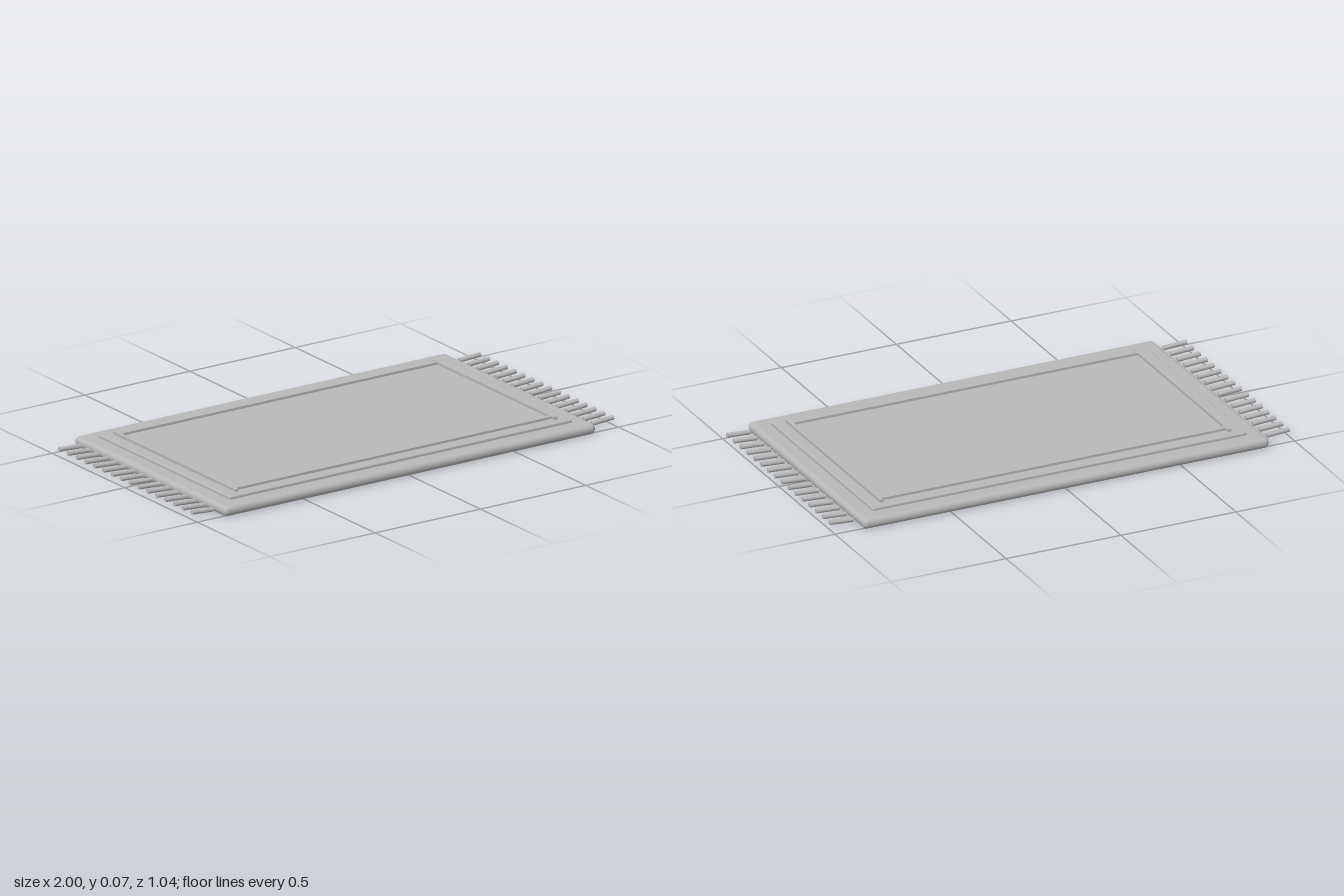
import * as THREE from 'three';
import { RoundedBoxGeometry } from 'three/addons/geometries/RoundedBoxGeometry.js';

export function createModel() {
  const rug = new THREE.Group();
  rug.name = 'fringedRug';
  const grey = new THREE.MeshStandardMaterial({ color: 0xb8b8b8 });
  grey.name = 'grey wool';

  const add = (name, geometry, x, y, z) => {
    const mesh = new THREE.Mesh(geometry, grey);
    mesh.name = name;
    mesh.position.set(x, y, z);
    rug.add(mesh);
    return mesh;
  };

  // Thick base with rounded rim, and the thinner field on top
  add('base', new RoundedBoxGeometry(1.766, 0.043, 1.044, 5, 0.0205), 0, 0.0215, 0);
  add('field', new RoundedBoxGeometry(1.628, 0.026, 0.91, 3, 0.006), 0, 0.043, 0);

  // Raised border strips
  for (const s of [-1, 1]) {
    add('longBorder', new THREE.BoxGeometry(1.5, 0.011, 0.021), 0, 0.0605, s * 0.394);
    add('shortBorder', new THREE.BoxGeometry(0.016, 0.012, 0.842), s * 0.757, 0.061, 0);
  }

  // Fringe along both short ends, tipped slightly upwards
  const strand = new THREE.CylinderGeometry(0.0095, 0.0095, 0.1, 12);
  strand.rotateZ(Math.PI / 2);
  for (const s of [-1, 1]) {
    for (let i = 0; i < 16; i++) {
      const mesh = add('fringeStrand', strand, s * 0.95, 0.027, -0.452 + i * 0.061);
      mesh.rotation.z = s * 0.06;
    }
  }
  return rug;
}
